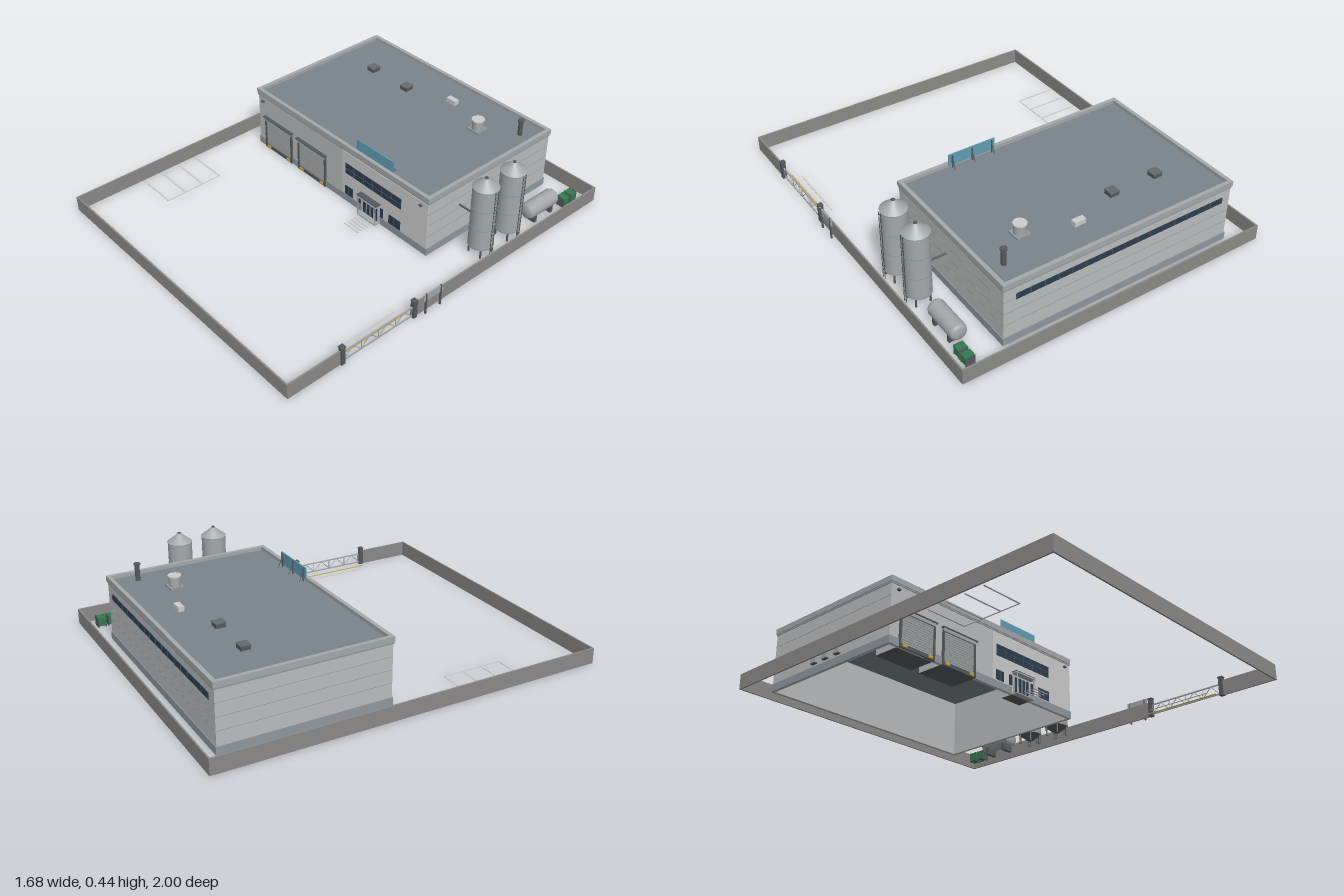
import * as THREE from 'three';

const mats = {};
const mat = (c = 0xcccccc) => (mats[c] ??= new THREE.MeshStandardMaterial({ color: c }));
const WALL = 0xb9bcbd, FENCE = 0x8b8a87, DARK = 0x555a5e, ROOF = 0x7a838b, GLASS = 0x2c3e50,
  METAL = 0xa4a8aa, TRIM = 0x8f989e, BLUE = 0x5f9db3, GREEN = 0x2f7d4f, YELLOW = 0xc9a63a;

export function createModel() {
  const root = new THREE.Group();
  let parent = root;
  const group = (name, build, x = 0, y = 0, z = 0) => {
    const g = new THREE.Group(), before = parent;
    g.name = name;
    g.position.set(x, y, z);
    before.add(g);
    parent = g;
    build();
    parent = before;
    return g;
  };
  const add = (name, geo, color, x = 0, y = 0, z = 0) => {
    const m = new THREE.Mesh(geo, mat(color));
    m.name = name;
    m.position.set(x, y, z);
    parent.add(m);
    return m;
  };
  // box given by its two extreme corners
  const box = (name, color, x0, x1, y0, y1, z0, z1) =>
    add(name, new THREE.BoxGeometry(x1 - x0, y1 - y0, z1 - z0), color, (x0 + x1) / 2, (y0 + y1) / 2, (z0 + z1) / 2);
  const cyl = (name, color, r0, r1, h, x, y, z, n = 24) =>
    add(name, new THREE.CylinderGeometry(r1, r0, h, n), color, x, y + h / 2, z);
  // round bar between two points
  const bar = (name, color, a, b, r = 0.003, n = 8) => {
    const p = new THREE.Vector3(...a), q = new THREE.Vector3(...b), d = q.clone().sub(p);
    const m = add(name, new THREE.CylinderGeometry(r, r, d.length(), n), color);
    m.position.copy(p).add(q).multiplyScalar(0.5);
    m.quaternion.setFromUnitVectors(new THREE.Vector3(0, 1, 0), d.normalize());
    return m;
  };
  // four walls around a rectangle
  const ring = (name, color, x0, x1, y0, y1, z0, z1, t) => {
    box(name, color, x0, x1, y0, y1, z0, z0 + t);
    box(name, color, x0, x1, y0, y1, z1 - t, z1);
    box(name, color, x0, x0 + t, y0, y1, z0 + t, z1 - t);
    box(name, color, x1 - t, x1, y0, y1, z0 + t, z1 - t);
  };

  group('perimeterWall', () => {
    box('backWall', FENCE, -0.84, 0.816, 0, 0.08, -1, -0.992);
    box('frontWall', FENCE, -0.84, 0.816, 0, 0.08, 0.992, 1);
    box('leftWall', FENCE, -0.84, -0.832, 0, 0.08, -0.992, 0.992);
    box('rightWallBack', FENCE, 0.808, 0.816, 0, 0.08, -0.992, 0.27);
    box('rightWallFront', FENCE, 0.808, 0.816, 0, 0.08, 0.7, 0.992);
  });

  group('gate', () => {
    for (const z of [0.275, 0.7]) {
      box('gatePost', DARK, 0.802, 0.824, 0, 0.095, z - 0.011, z + 0.011);
      box('gatePostCap', DARK, 0.8, 0.826, 0.095, 0.1, z - 0.013, z + 0.013);
    }
    for (const y of [0.012, 0.062]) box('gateRail', METAL, 0.809, 0.815, y - 0.003, y + 0.003, 0.287, 0.689);
    const n = 8, step = 0.402 / n;
    for (let i = 0; i <= n; i++) {
      const z = 0.287 + i * step;
      if (i % 2 === 0) bar('gateUpright', METAL, [0.812, 0.012, z], [0.812, 0.062, z], 0.002, 6);
      if (i < n) bar('gateBrace', METAL, [0.812, i % 2 ? 0.062 : 0.012, z], [0.812, i % 2 ? 0.012 : 0.062, z + step], 0.002, 6);
    }
    box('gateTrack', YELLOW, 0.772, 0.778, 0, 0.003, 0.28, 0.69);
    box('stopLine', 0xcccccc, 0.732, 0.739, 0, 0.002, 0.32, 0.655);
  });

  group('entranceSign', () => {
    box('signPanel', METAL, 0.829, 0.835, 0.078, 0.116, 0.115, 0.237);
    for (const z of [0.13, 0.222]) box('signPost', DARK, 0.829, 0.838, 0, 0.118, z - 0.003, z + 0.003);
  });

  const X0 = -0.71, X1 = 0.555, Z0 = -0.91, Z1 = -0.06;
  group('building', () => {
    ring('outerWall', WALL, X0, X1, 0, 0.325, Z0, Z1, 0.012);
    box('roof', ROOF, X0 + 0.012, X1 - 0.012, 0.305, 0.322, Z0 + 0.012, Z1 - 0.012);
    ring('parapetBand', TRIM, X0 - 0.003, X1 + 0.003, 0.303, 0.312, Z0 - 0.003, Z1 + 0.003, 0.003);
    ring('parapet', METAL, X0 - 0.006, X1 + 0.006, 0.312, 0.34, Z0 - 0.006, Z1 + 0.006, 0.02);
    for (const y of [0.11, 0.175, 0.24]) { // cladding seams on the sides and back
      box('seam', TRIM, X0, X1, y, y + 0.002, Z0 - 0.001, Z0);
      box('seam', TRIM, X0 - 0.001, X0, y, y + 0.002, Z0, Z1);
      box('seam', TRIM, X1, X1 + 0.001, y, y + 0.002, Z0, Z1);
    }
    // plinth, broken at the loading doors and the entrance
    box('plinth', TRIM, X0 - 0.004, X1 + 0.004, 0, 0.04, Z0 - 0.004, Z0);
    box('plinth', TRIM, X0 - 0.004, X0, 0, 0.04, Z0, Z1);
    box('plinth', TRIM, X1, X1 + 0.004, 0, 0.04, Z0, Z1);
    for (const [a, b] of [[X0 - 0.004, -0.655], [-0.435, -0.385], [-0.165, 0.1], [0.24, X1 + 0.004]])
      box('plinth', TRIM, a, b, 0, 0.04, Z1, Z1 + 0.004);
    box('officeFacade', 0xcccccc, -0.04, X1, 0.04, 0.3, Z1, Z1 + 0.003);
  });

  // window with a dark pane and a grid of mullions
  const frontWindow = (x0, x1, y0, y1, cols, rows) => group('window', () => {
    const z = Z1 + 0.003;
    box('pane', GLASS, x0, x1, y0, y1, z, z + 0.003);
    for (let i = 1; i < cols; i++) {
      const x = x0 + (x1 - x0) * i / cols;
      box('mullion', DARK, x - 0.0012, x + 0.0012, y0, y1, z + 0.002, z + 0.005);
    }
    for (let i = 1; i < rows; i++) {
      const y = y0 + (y1 - y0) * i / rows;
      box('transom', DARK, x0, x1, y - 0.0012, y + 0.0012, z + 0.002, z + 0.005);
    }
  });
  frontWindow(-0.015, 0.38, 0.175, 0.235, 6, 2);
  frontWindow(-0.015, 0.04, 0.045, 0.097, 2, 1);
  frontWindow(0.3, 0.38, 0.045, 0.097, 2, 1);
  group('backWindowStrip', () => {
    box('pane', GLASS, -0.66, 0.49, 0.235, 0.265, Z0 - 0.004, Z0);
    for (let i = 0; i <= 16; i++) {
      const x = -0.66 + 1.15 * i / 16;
      box('mullion', DARK, x - 0.0015, x + 0.0015, 0.235, 0.265, Z0 - 0.006, Z0);
    }
  });

  // loading doors with the enclosure behind them
  for (const x of [-0.545, -0.275]) group('loadingDoor', () => {
    box('enclosure', WALL, -0.11, 0.11, 0.002, 0.185, -0.21, Z1 - 0.002);
    box('enclosureFloor', DARK, -0.11, 0.11, 0, 0.002, -0.21, Z1);
    box('shutter', METAL, -0.1, 0.1, 0.02, 0.178, Z1, Z1 + 0.003);
    for (let i = 0; i < 12; i++)
      box('shutterSlat', 0x9a9d9f, -0.1, 0.1, 0.03 + i * 0.012, 0.037 + i * 0.012, Z1 + 0.002, Z1 + 0.005);
    for (const s of [-1, 1]) {
      box('doorJamb', DARK, s * 0.105 - 0.005, s * 0.105 + 0.005, 0, 0.18, Z1, Z1 + 0.01);
      box('bumper', YELLOW, s * 0.08 - 0.012, s * 0.08 + 0.012, 0.004, 0.018, Z1, Z1 + 0.014);
    }
    box('shutterHousing', METAL, -0.108, 0.108, 0.172, 0.188, Z1, Z1 + 0.014);
    box('hood', DARK, -0.116, 0.116, 0.188, 0.194, Z1, Z1 + 0.018);
    box('sill', DARK, -0.11, 0.11, 0, 0.02, Z1, Z1 + 0.008);
  }, x);

  group('entrance', () => {
    box('vestibule', WALL, 0.105, 0.235, 0.002, 0.1, -0.13, Z1 - 0.002);
    box('vestibuleFloor', DARK, 0.105, 0.235, 0, 0.002, -0.13, Z1);
    box('doorGlass', GLASS, 0.115, 0.225, 0.004, 0.1, Z1, Z1 + 0.005);
    for (const x of [0.115, 0.143, 0.17, 0.197, 0.225])
      box('doorFrame', METAL, x - 0.002, x + 0.002, 0.004, 0.1, Z1, Z1 + 0.008);
    for (const x of [0.09, 0.25]) box('sideLight', GLASS, x - 0.01, x + 0.01, 0.045, 0.1, Z1 + 0.003, Z1 + 0.006);
    box('canopy', METAL, 0.1, 0.24, 0.108, 0.116, Z1, -0.022);
    box('canopyTrim', DARK, 0.1, 0.24, 0.116, 0.122, Z1, -0.026);
    for (const x of [0.108, 0.232]) bar('canopyColumn', METAL, [x, 0, -0.028], [x, 0.108, -0.028], 0.003);
    box('doorStep', METAL, 0.105, 0.235, 0, 0.006, Z1, -0.025);
    for (let i = 0; i < 4; i++)
      box('crossingStripe', 0xcccccc, 0.12, 0.22, 0, 0.002, 0.003 + i * 0.021, 0.01 + i * 0.021);
  });
  for (const x of [-0.67, 0.51]) box('wallLamp', DARK, x - 0.008, x + 0.008, 0.275, 0.283, Z1, Z1 + 0.014);

  group('roofSign', () => {
    box('board', BLUE, 0.042, 0.3, 0.335, 0.396, -0.083, -0.077);
    for (const x of [0.06, 0.17, 0.28]) {
      box('signPost', DARK, x - 0.003, x + 0.003, 0.322, 0.39, -0.089, -0.083);
      bar('signBrace', DARK, [x, 0.375, -0.086], [x, 0.322, -0.11], 0.002, 6);
    }
  });

  group('rooftopEquipment', () => {
    for (const x of [-0.465, -0.21]) {
      box('skylightBox', DARK, x - 0.024, x + 0.024, 0.32, 0.342, -0.684, -0.636);
      box('skylightLid', 0x666b6f, x - 0.026, x + 0.026, 0.342, 0.346, -0.686, -0.634);
    }
    box('airUnit', 0xcccccc, 0.015, 0.075, 0.32, 0.347, -0.76, -0.73);
    box('ventBase', TRIM, 0.264, 0.336, 0.32, 0.332, -0.696, -0.624);
    cyl('ventDrum', METAL, 0.029, 0.029, 0.05, 0.3, 0.332, -0.66);
    cyl('ventCap', 0xcccccc, 0.033, 0.033, 0.006, 0.3, 0.38, -0.66);
    cyl('chimney', DARK, 0.012, 0.012, 0.085, 0.47, 0.32, -0.785, 16);
    cyl('chimneyCap', DARK, 0.017, 0.017, 0.007, 0.47, 0.404, -0.785, 16);
  });

  // silos on legs with feed pipes into the building
  for (const z of [-0.275, -0.465]) group('silo', () => {
    cyl('shell', METAL, 0.062, 0.062, 0.34, 0, 0.05, 0, 32);
    cyl('roofCone', METAL, 0.065, 0.008, 0.045, 0, 0.39, 0, 32);
    cyl('topHatch', DARK, 0.009, 0.009, 0.006, 0, 0.433, 0, 12);
    cyl('hopper', DARK, 0.018, 0.055, 0.03, 0, 0.02, 0, 32);
    for (const y of [0.055, 0.165, 0.275, 0.385]) cyl('hoop', TRIM, 0.0635, 0.0635, 0.004, 0, y, 0, 32);
    for (let i = 0; i < 4; i++) {
      const a = Math.PI * (i + 0.5) / 2;
      bar('leg', DARK, [0.053 * Math.cos(a), 0, 0.053 * Math.sin(a)], [0.053 * Math.cos(a), 0.055, 0.053 * Math.sin(a)], 0.005);
    }
    for (const s of [-0.009, 0.009]) bar('ladderRail', DARK, [0.069, 0.02, s], [0.069, 0.392, s], 0.0018, 6);
    for (let i = 0; i < 20; i++) bar('ladderRung', DARK, [0.069, 0.03 + i * 0.0185, -0.009], [0.069, 0.03 + i * 0.0185, 0.009], 0.0012, 5);
    bar('feedPipe', DARK, [-0.148, 0.195, 0], [-0.06, 0.195, 0], 0.005, 10);
  }, 0.703, 0, z);

  group('storageTank', () => {
    const profile = [[0, -0.107], [0.025, -0.104], [0.038, -0.098], [0.043, -0.088], [0.043, 0.088], [0.038, 0.098], [0.025, 0.104], [0, 0.107]];
    add('tankShell', new THREE.LatheGeometry(profile.map(p => new THREE.Vector2(...p)), 28), METAL, 0, 0.066, 0).rotation.x = Math.PI / 2;
    for (const z of [-0.06, 0.06]) box('saddle', DARK, -0.034, 0.034, 0, 0.045, z - 0.009, z + 0.009);
  }, 0.703, 0, -0.702);

  // waste containers in the back corner
  for (const z of [-0.91, -0.855]) group('wasteBin', () => {
    box('binBody', GREEN, -0.022, 0.022, 0.006, 0.045, -0.02, 0.02);
    box('binLid', GREEN, -0.024, 0.024, 0.045, 0.051, -0.022, 0.022);
    for (const s of [-1, 1]) box('binRim', DARK, -0.023, 0.023, 0, 0.053, s * 0.02 - 0.002, s * 0.02 + 0.002);
  }, 0.732, 0, z);

  // small cabinets along the left wall
  for (const z of [-0.49, -0.408, -0.325]) group('utilityCabinet', () => {
    box('cabinet', METAL, -0.009, 0.009, 0.004, 0.04, -0.018, 0.018);
    box('cabinetFoot', DARK, -0.008, 0.008, 0, 0.004, -0.016, 0.016);
  }, -0.788, 0, z);

  group('parkingLines', () => {
    for (const z of [0.302, 0.408, 0.514, 0.62]) box('bayLine', 0xcccccc, -0.82, -0.602, 0, 0.002, z - 0.004, z + 0.004);
    box('endLine', 0xcccccc, -0.607, -0.601, 0, 0.002, 0.302, 0.62);
  });

  return root;
}
